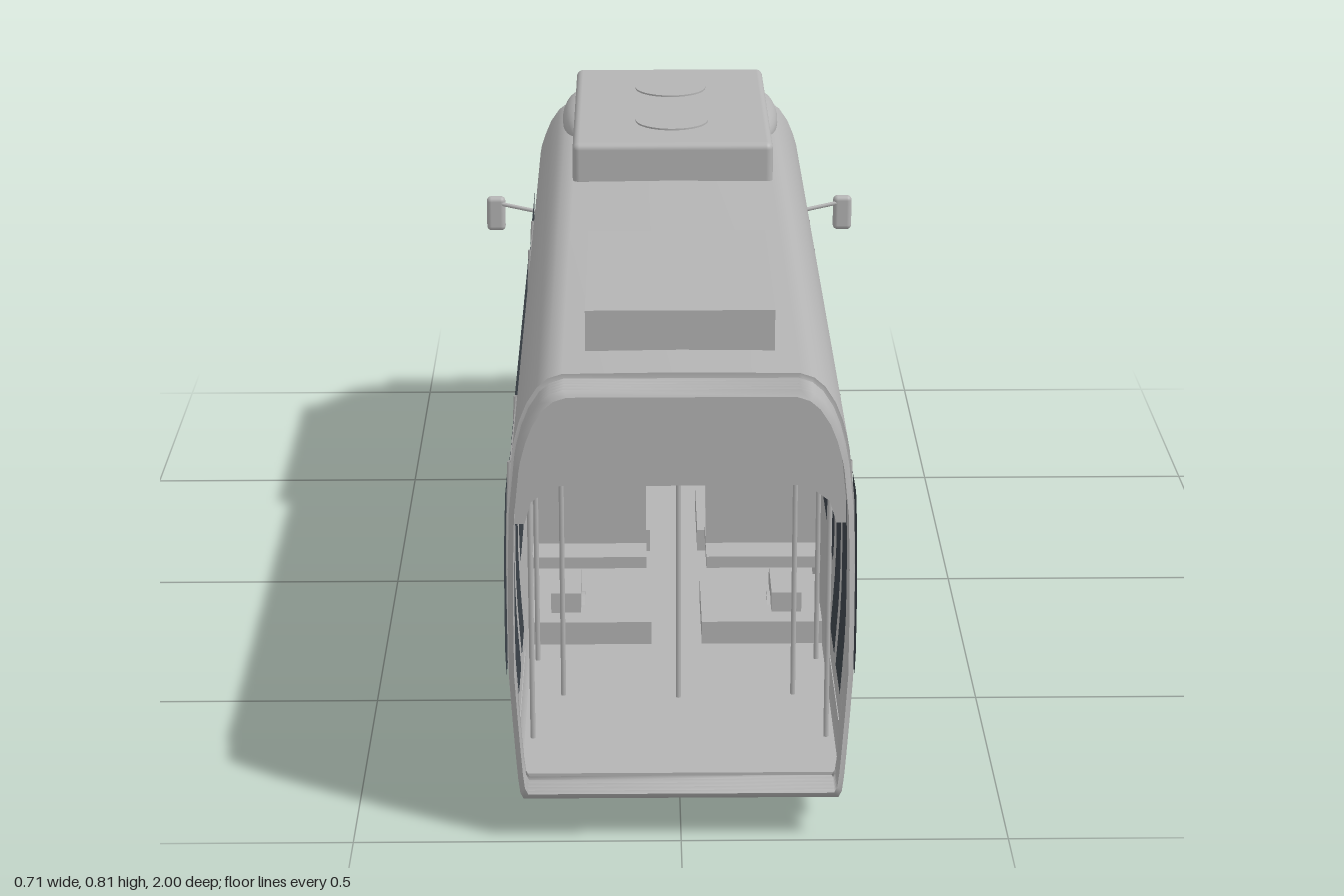
import * as THREE from 'three';
import { RoundedBoxGeometry } from 'three/addons/geometries/RoundedBoxGeometry.js';

const paint = new THREE.MeshStandardMaterial({ color: 0xb4b4b4, side: THREE.DoubleSide });
paint.name = 'light grey paint';
const glass = new THREE.MeshStandardMaterial({ color: 0x3c434a, side: THREE.DoubleSide });
glass.name = 'dark glass';

// Body slices: height, half width, nose z, length of the rounded nose
const SLICES = [
  [0.065, 0.243, -0.94, 0.25], [0.075, 0.248, -0.967, 0.26], [0.1, 0.251, -0.99, 0.27],
  [0.14, 0.254, -0.999, 0.28], [0.2, 0.258, -1.0, 0.28], [0.235, 0.26, -0.994, 0.28],
  [0.27, 0.262, -0.982, 0.28], [0.36, 0.262, -0.946, 0.25], [0.45, 0.261, -0.902, 0.21],
  [0.54, 0.258, -0.852, 0.165], [0.615, 0.25, -0.802, 0.12], [0.632, 0.247, -0.776, 0.11],
  [0.662, 0.239, -0.705, 0.07], [0.69, 0.228, -0.682, 0.055], [0.715, 0.212, -0.67, 0.05],
  [0.729, 0.196, -0.658, 0.045], [0.736, 0.175, -0.645, 0.04],
];
const REAR = 0.94;
const lerp = THREE.MathUtils.lerp;

function sliceAt(y) {
  let i = 1;
  while (i < SLICES.length - 1 && SLICES[i][0] < y) i++;
  const a = SLICES[i - 1], b = SLICES[i];
  const t = THREE.MathUtils.clamp((y - a[0]) / (b[0] - a[0]), 0, 1);
  return a.map((v, k) => lerp(v, b[k], t));
}

// Point on the rounded nose; angle 0 is the centre line
function nosePoint(y, angle) {
  const [, w, f, l] = sliceAt(y);
  const s = Math.sin(angle), c = Math.max(0, Math.cos(angle));
  return new THREE.Vector3(w * Math.sign(s) * Math.abs(s) ** 0.82, y, f + l - l * c ** 0.82);
}

function noseOffset(y, angle, d) {
  const e = 0.01;
  const du = nosePoint(y, angle + e).sub(nosePoint(y, angle - e));
  const dv = nosePoint(y + e, angle).sub(nosePoint(y - e, angle));
  return nosePoint(y, angle).addScaledVector(dv.cross(du).normalize(), d);
}

// Smooth surface through rows of points
function loft(rows, closed = false) {
  const n = rows[0].length, index = [];
  for (let j = 0; j < rows.length - 1; j++) {
    for (let i = 0; i < (closed ? n : n - 1); i++) {
      const a = j * n + i, b = j * n + (i + 1) % n;
      index.push(a, a + n, b, b, a + n, b + n);
    }
  }
  const g = new THREE.BufferGeometry().setFromPoints(rows.flat());
  g.setIndex(index);
  g.computeVertexNormals();
  return g;
}

export function createModel() {
  const model = new THREE.Group();
  model.name = 'tramCar';
  const add = (name, geometry, material = paint, x = 0, y = 0, z = 0) => {
    const m = new THREE.Mesh(geometry, material);
    m.name = name;
    m.position.set(x, y, z);
    model.add(m);
    return m;
  };
  // Box given by its limits on each axis
  const box = (name, x0, x1, y0, y1, z0, z1, material = paint, r = 0) => {
    const size = [x1 - x0, y1 - y0, z1 - z0];
    const g = r ? new RoundedBoxGeometry(...size, 3, r) : new THREE.BoxGeometry(...size);
    return add(name, g, material, (x0 + x1) / 2, (y0 + y1) / 2, (z0 + z1) / 2);
  };
  const rod = (name, points, r) => add(name, new THREE.TubeGeometry(
    new THREE.CatmullRomCurve3(points.map(p => new THREE.Vector3(...p))), 8, r, 8));

  // Shell: sides and nose in one surface, then roof and underside
  const outline = y => {
    const w = sliceAt(y)[1], row = [new THREE.Vector3(-w, y, REAR)];
    for (let i = 0; i <= 40; i++) row.push(nosePoint(y, (i / 40 - 0.5) * Math.PI));
    row.push(new THREE.Vector3(w, y, REAR));
    return row;
  };
  const flatten = (row, y) => row.map(p => new THREE.Vector3(0, y, p.z));
  const rows = SLICES.map(s => outline(s[0]));
  rows.push(flatten(rows.at(-1), 0.738));
  add('bodyShell', loft(rows));
  add('underside', loft([flatten(rows[0], 0.065), rows[0]]));

  // Windscreen follows the nose
  const screenRows = SLICES.map(s => s[0]).filter(y => y >= 0.27 && y <= 0.62).map(y => {
    const row = [];
    for (let i = 0; i <= 32; i++) row.push(noseOffset(y, (i / 16 - 1) * 1.08, 0.004));
    return row;
  });
  add('windscreen', loft(screenRows), glass);
  box('windscreenTopBar', -0.15, 0.15, 0.6, 0.61, -0.818, -0.8);
  rod('wiper', [[0, 0.275, -0.985], [0.12, 0.355, -0.965], [0.235, 0.435, -0.935]], 0.003);

  // Side glazing, doors and rails
  const panel = (name, side, z0, z1, y0, y1, d, material) => {
    const grid = [];
    for (let j = 0; j <= 8; j++) {
      const y = lerp(y0, y1, j / 8), x = side * (sliceAt(y)[1] + d);
      grid.push([new THREE.Vector3(x, y, z0), new THREE.Vector3(x, y, z1)]);
    }
    add(name, loft(grid), material);
  };
  const windows = [[0.85, 0.93, 0.245], [0.69, 0.8, 0.15, 0.52], [0.545, 0.65, 0.15, 0.52],
    [-0.215, 0.49, 0.245], [-0.41, -0.27, 0.15, 0.52], [-0.65, -0.46, 0.245]];
  for (const side of [-1, 1]) {
    for (const [z0, z1, y0, y1 = 0.545] of windows) {
      for (const d of [0.004, -0.003]) panel('sideWindow', side, z0, z1, y0, y1, d, glass);
    }
    for (const [z0, z1] of [[0.525, 0.815], [-0.43, -0.25]]) {
      panel('doorLeaf', side, z0, z1, 0.105, 0.55, 0.002, paint);
      box('doorSill', side * 0.254 - 0.004, side * 0.254 + 0.004, 0.1, 0.106, z0, z1);
      for (const z of [z0, z1]) {
        rod('doorRail', [0.1, 0.25, 0.4, 0.55].map(y => [side * (sliceAt(y)[1] + 0.002), y, z]), 0.004);
        rod('insideHandrail', [[side * 0.23, 0.085, z], [side * 0.23, 0.535, z]], 0.004);
      }
    }
    // Mirror on its arm
    rod('mirrorArm', [[side * 0.255, 0.513, -0.615], [side * 0.33, 0.525, -0.63]], 0.004);
    box('mirror', side * 0.337 - 0.018, side * 0.337 + 0.018, 0.47, 0.538, -0.645, -0.625, paint, 0.009);

    // Paired headlamps
    for (const angle of [0.52, 0.68]) {
      const lamp = add('headlamp', new THREE.TorusGeometry(0.012, 0.004, 8, 20));
      lamp.position.copy(noseOffset(0.215, side * angle, 0.001));
      lamp.lookAt(noseOffset(0.215, side * angle, 0.1));
    }
  }

  // Gangway bellows at the open end
  const section = (scale, z) => {
    const half = SLICES.map(s => [s[1] * scale, 0.4 + (s[0] - 0.4) * scale]);
    return [...half, ...half.map(([x, y]) => [-x, y]).reverse()]
      .map(([x, y]) => new THREE.Vector3(x, y, z));
  };
  const folds = [section(1, REAR)];
  for (let i = 0; i <= 10; i++) folds.push(section(i % 2 ? 0.985 : 0.955, REAR + i * 0.006));
  add('bellows', loft(folds, true));

  // Interior: floor, ceiling, header, cab wall
  box('floor', -0.243, 0.243, 0.075, 0.085, -0.61, 0.94);
  box('ceiling', -0.25, 0.25, 0.541, 0.546, -0.61, 0.88);
  const header = new THREE.Shape(section(0.985, 0).filter(p => p.y > 0.58).map(p => new THREE.Vector2(p.x, p.y)));
  const edge = header.getPoints();
  const arch = new THREE.Shape([new THREE.Vector2(0.25, 0.48), ...edge, new THREE.Vector2(-0.25, 0.48),
    new THREE.Vector2(-0.235, 0.48), new THREE.Vector2(-0.225, 0.515), new THREE.Vector2(-0.19, 0.541),
    new THREE.Vector2(0.19, 0.541), new THREE.Vector2(0.225, 0.515), new THREE.Vector2(0.235, 0.48)]);
  add('endHeader', new THREE.ExtrudeGeometry(arch, { depth: 0.015, bevelEnabled: false }), paint, 0, 0, 0.88);
  box('cabWall', -0.25, 0.25, 0.085, 0.543, -0.62, -0.6);
  box('cabWallWindow', -0.178, -0.067, 0.367, 0.443, -0.6, -0.594, glass);
  box('signFrame', -0.068, 0.068, 0.476, 0.53, -0.6, -0.58);
  box('signFace', -0.062, 0.062, 0.48, 0.525, -0.58, -0.575, glass);

  // Seats and poles
  for (const side of [-1, 1]) {
    const span = (name, a, b, ...rest) => box(name, Math.min(side * a, side * b), Math.max(side * a, side * b), ...rest);
    for (const z of [-0.035, 0.365]) {
      span('seatPlatform', 0.042, 0.243, 0.085, 0.125, z - 0.1, z + 0.1);
      span('wheelBox', 0.16, 0.21, 0.125, 0.16, z - 0.06, z + 0.06);
      span('seatBase', 0.05, 0.24, 0.21, 0.23, z - 0.07, z + 0.07);
      span('seatBack', 0.05, 0.24, 0.21, 0.367, z - 0.01, z + 0.01);
    }
    for (const z of [0.66, -0.34]) rod('pole', [[side * 0.185, 0.085, z], [side * 0.185, 0.541, z]], 0.004);
  }
  rod('centrePole', [[0, 0.085, 0.67], [0, 0.541, 0.67]], 0.004);

  // Roof units, fans and the fairing ahead of them
  box('rearRoofUnit', -0.142, 0.142, 0.73, 0.8, 0.44, 0.84);
  box('frontRoofUnit', -0.176, 0.176, 0.725, 0.805, -0.588, -0.058, paint, 0.012);
  for (const z of [-0.21, -0.44]) add('roofFan', new THREE.CylinderGeometry(0.065, 0.065, 0.006, 32), paint, 0, 0.805, z);
  const fairing = new THREE.Shape();
  fairing.moveTo(0.34, 0.73);
  fairing.quadraticCurveTo(0.38, 0.768, 0.45, 0.768);
  fairing.lineTo(0.59, 0.762);
  fairing.quadraticCurveTo(0.65, 0.755, 0.665, 0.725);
  const fairingMesh = add('roofFairing', new THREE.ExtrudeGeometry(fairing, { depth: 0.33, bevelEnabled: false }), paint, -0.165);
  fairingMesh.rotation.y = Math.PI / 2;
  for (const side of [-1, 1]) {
    add('fairingBulge', new THREE.SphereGeometry(1, 24, 16), paint, side * 0.165, 0.733, -0.5).scale.set(0.037, 0.036, 0.15);
  }

  // Running gear
  for (const z of [-0.035, 0.365]) {
    const inward = z > 0.1 ? -1 : 1;
    rod('axle', [[-0.165, 0.055, z], [0.165, 0.055, z]], 0.008);
    add('crossMotor', new THREE.CylinderGeometry(0.02, 0.02, 0.16, 20), paint, 0, 0.059, z + inward * 0.125).rotation.z = Math.PI / 2;
    for (const side of [-1, 1]) {
      const tyre = add('wheel', new THREE.CylinderGeometry(0.061, 0.061, 0.02, 32), paint, side * 0.17, 0.066, z);
      const flange = add('wheelFlange', new THREE.CylinderGeometry(0.066, 0.066, 0.008, 32), paint, side * 0.158, 0.066, z);
      tyre.rotation.z = flange.rotation.z = Math.PI / 2;
      const brake = add('brakeDisc', new THREE.CylinderGeometry(0.033, 0.033, 0.01, 20), paint, side * 0.105, 0.062, z + inward * 0.1);
      brake.rotation.z = Math.PI / 2;
    }
  }
  return model;
}
